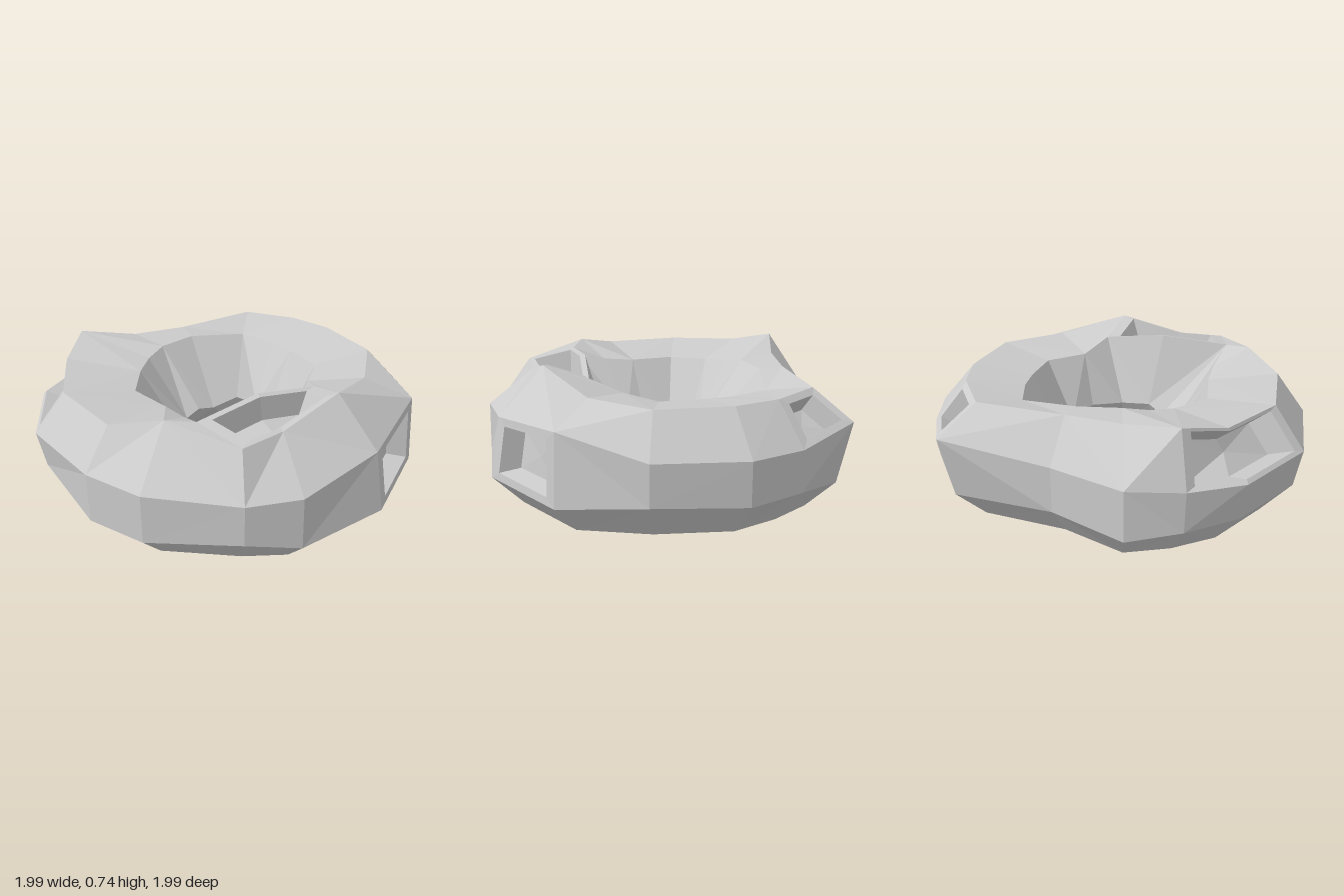
import * as THREE from 'three';

// Cross-sections round the ring: angle in degrees (0 = +x, 90 = +z),
// crest radius, inner rim radius
const stations = [
  [7, 0.7, 0.5], [36, 0.73, 0.45], [52, 0.84, 0.68], [80, 0.75, 0.54], [99, 0.85, 0.48],
  [127, 0.9, 0.53], [152, 0.91, 0.5], [168, 0.93, 0.5], [184, 0.72, 0.5], [209, 0.65, 0.52],
  [243, 0.84, 0.59], [264, 0.83, 0.52], [281, 0.82, 0.49], [308, 0.82, 0.5], [335, 0.72, 0.42],
];

// Smooth swelling round the ring, centred on one angle
function bump(deg, centreDeg, width) {
  const d = ((deg - centreDeg + 540) % 360) - 180;
  return Math.exp(-((d / width) ** 2));
}

// One cross-section, from the underside over the outside to the hole:
// radius, height and an optional turn in degrees
function section([deg, crest, rim]) {
  const wobble = Math.sin(deg * 1.7);
  const edge = 1 - 0.19 * bump(deg, 209, 20) + 0.04 * bump(deg, 140, 20);
  const rimTurn = 18 * bump(deg, 55, 14) - 11 * bump(deg, 6, 12);
  const profile = [
    [0.46, 0.08 + 0.03 * wobble], // inner underside
    [0.66, 0.02 - 0.015 * wobble], // lowest ring
    [edge * 0.84, 0.04 + 0.02 * wobble], // outer underside
    [edge, 0.22 + 0.04 * wobble], // widest edge
    [edge - 0.06 * bump(deg, 0, 25) + 0.05 * bump(deg, 140, 25) + 0.07 * bump(deg, 243, 10),
      0.45 + 0.13 * bump(deg, 345, 25) + 0.06 * bump(deg, 243, 10)], // shoulder
    [crest, 0.66 + 0.09 * bump(deg, 8, 15) + 0.07 * bump(deg, 168, 12) + 0.06 * bump(deg, 80, 8)], // crest
    [rim, 0.61 + 0.12 * bump(deg, 33, 35) + 0.05 * bump(deg, 195, 30), rimTurn], // inner rim
    [0.33 - 0.11 * bump(deg, 200, 40), 0.3 - 0.03 * wobble], // hole waist
  ];
  return profile.map(([r, y, turn = 0]) => {
    const a = THREE.MathUtils.degToRad(deg + turn);
    return new THREE.Vector3(r * Math.cos(a), y, r * Math.sin(a));
  });
}

const sections = stations.map(section);
const N = sections.length, RINGS = sections[0].length;
const at = (i, j) => sections[i % N][j % RINGS];

// Pockets: cells from section i over `span` columns, between ring j and j + 1
const pockets = [
  { name: 'topSlot', i: 0, span: 2, j: 5, frame: 0.2, depth: 0.12 },
  { name: 'sideHollow', i: N - 1, span: 1, j: 3, frame: 0.24, depth: 0.1 },
  { name: 'frontCornerHollow', i: 5, span: 2, j: 4, frame: 0.15, depth: 0.12 },
  { name: 'backHollow', i: 10, span: 1, j: 4, frame: 0.3, depth: 0.1 },
];

function facetedMesh(name, points) {
  const geometry = new THREE.BufferGeometry().setFromPoints(points);
  geometry.computeVertexNormals();
  const material = new THREE.MeshStandardMaterial({ color: 0xcccccc, flatShading: true });
  const mesh = new THREE.Mesh(geometry, material);
  mesh.name = name;
  return mesh;
}

// Quad with a choice of diagonal
function quad(out, a, b, c, d, flip) {
  if (flip) out.push(a, b, d, b, c, d);
  else out.push(a, b, c, a, c, d);
}

function centre(loop) {
  return loop.reduce((s, p) => s.add(p), new THREE.Vector3()).divideScalar(loop.length);
}

// Frame, sloping walls and floor sunk into a loop of corners
function pocket({ name, i, span, j, frame, depth }) {
  const upper = [], lower = [];
  for (let k = 0; k <= span; k++) {
    upper.push(at(i + k, j + 1));
    lower.unshift(at(i + k, j));
  }
  const loop = [...upper, ...lower];
  const mid = centre(loop), normal = new THREE.Vector3();
  loop.forEach((p, k) => {
    const q = loop[(k + 1) % loop.length];
    normal.add(p.clone().sub(mid).cross(q.clone().sub(mid)));
  });
  normal.normalize();
  const opening = loop.map(p => p.clone().lerp(mid, frame));
  const floor = opening.map(p => p.clone().lerp(mid, 0.2).addScaledVector(normal, -depth));
  const floorMid = centre(floor), out = [];
  loop.forEach((p, k) => {
    const n = (k + 1) % loop.length;
    quad(out, p, loop[n], opening[n], opening[k]);
    quad(out, opening[k], opening[n], floor[n], floor[k]);
    out.push(floor[k], floor[n], floorMid);
  });
  return facetedMesh(name, out);
}

export function createModel() {
  const group = new THREE.Group();
  group.name = 'ringRock';

  // Faceted ring shell, left open where a pocket sits
  const shell = [];
  for (let i = 0; i < N; i++) {
    for (let j = 0; j < RINGS; j++) {
      if (pockets.some(p => p.j === j && i % N >= p.i && i < p.i + p.span)) continue;
      quad(shell, at(i, j), at(i, j + 1), at(i + 1, j + 1), at(i + 1, j), (i + j) % 2);
    }
  }
  group.add(facetedMesh('ringShell', shell));
  pockets.forEach(p => group.add(pocket(p)));
  return group;
}
